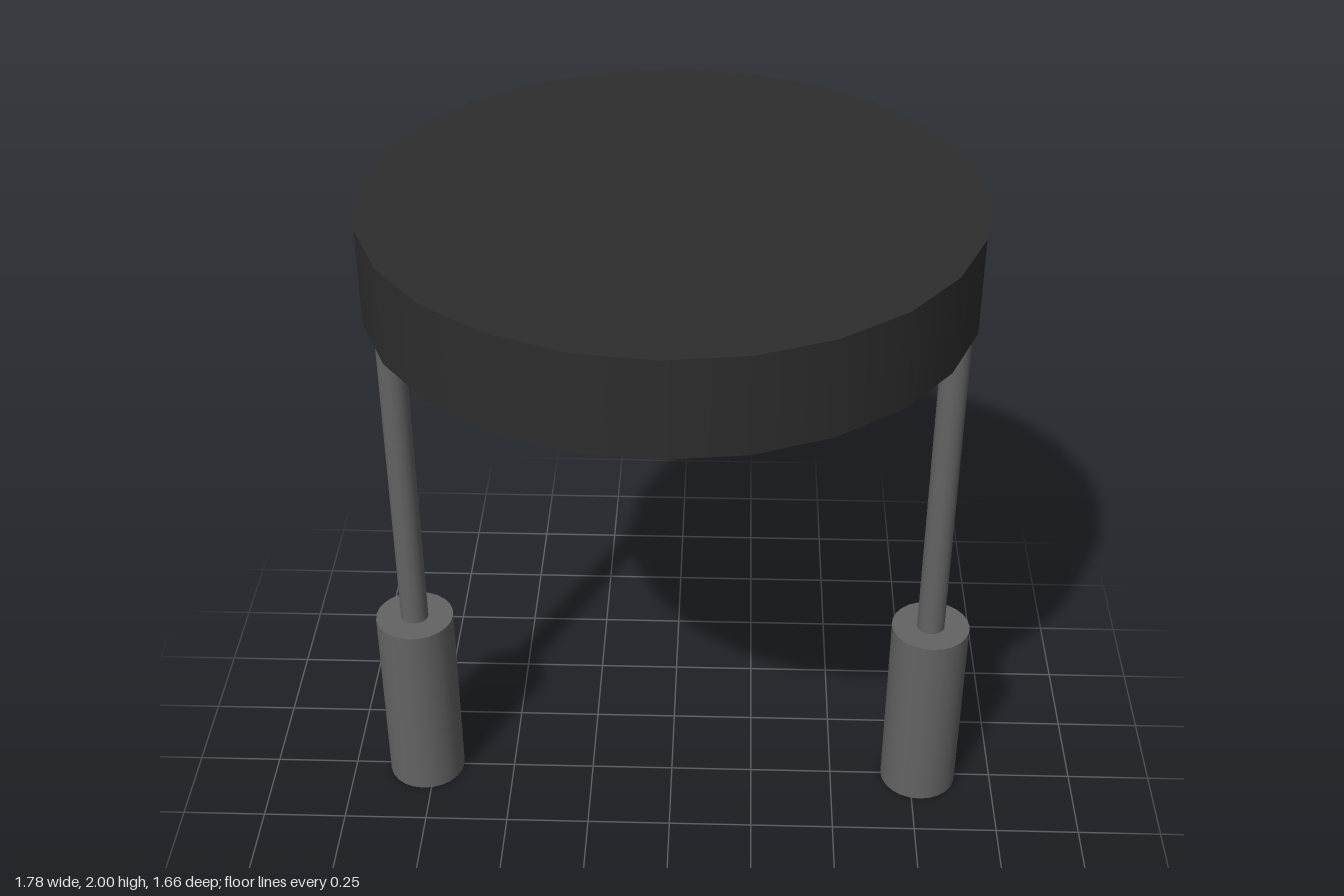
import * as THREE from 'three';

export function createModel() {
  const model = new THREE.Group();
  const black = new THREE.MeshStandardMaterial({ color: 0x2d2d2d });
  black.name = 'black';
  const grey = new THREE.MeshStandardMaterial({ color: 0x636363 });
  grey.name = 'grey';

  // Upright cylinder spanning y0 to y1
  function cylinder(name, radius, y0, y1, sides, material, open = false) {
    const geometry = new THREE.CylinderGeometry(radius, radius, y1 - y0, sides, 1, open);
    const mesh = new THREE.Mesh(geometry, material);
    mesh.name = name;
    mesh.position.y = (y0 + y1) / 2;
    return mesh;
  }

  // Round top disc
  model.add(cylinder('topDisc', 0.828, 1.728, 2, 24, black));

  // Two legs: weighted foot, thin rod and dark band near the top
  for (const side of [-1, 1]) {
    const leg = new THREE.Group();
    leg.name = side > 0 ? 'leftLeg' : 'rightLeg';
    leg.position.x = side * 0.775;
    leg.add(
      cylinder('foot', 0.116, 0, 0.595, 24, grey),
      cylinder('rod', 0.041, 0.595, 1.73, 24, grey),
      cylinder('band', 0.0425, 1.605, 1.665, 24, black)
    );
    model.add(leg);
  }
  return model;
}
